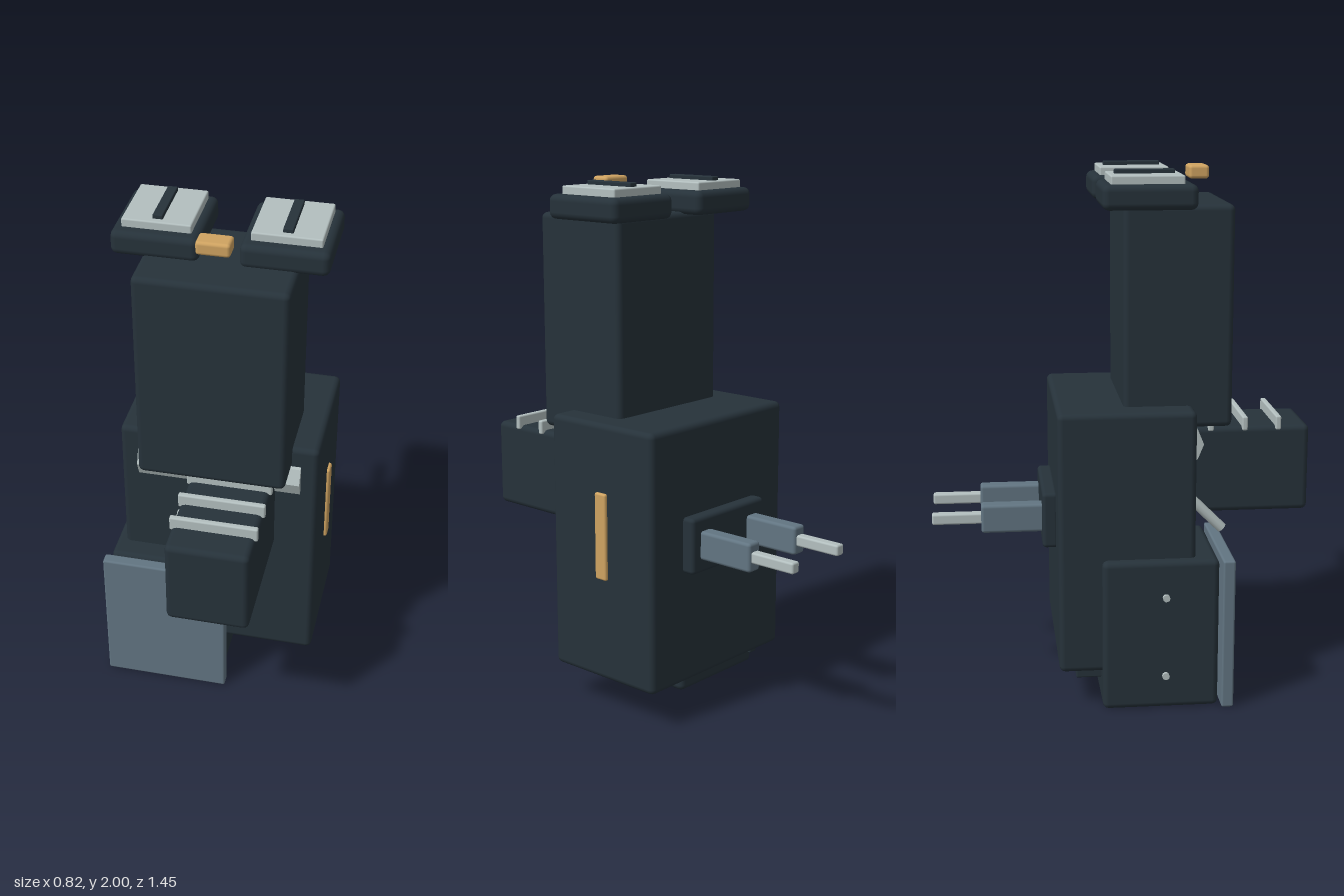
import * as THREE from 'three';
import { RoundedBoxGeometry } from 'three/addons/geometries/RoundedBoxGeometry.js';

const paint = (name, color) => {
  const m = new THREE.MeshStandardMaterial({ color });
  m.name = name;
  return m;
};

export function createModel() {
  const model = new THREE.Group();
  model.name = 'gadget';
  const dark = paint('dark navy', 0x26323a);
  const slate = paint('slate', 0x627582);
  const light = paint('pale steel', 0xb3bfbf);
  const gold = paint('brass', 0xcfa361);

  const add = (name, geometry, material, x, y, z) => {
    const mesh = new THREE.Mesh(geometry, material);
    mesh.name = name;
    mesh.position.set(x, y, z);
    model.add(mesh);
    return mesh;
  };

  // Softly bevelled box given by its extents on each axis
  const box = (name, material, [x0, x1], [y0, y1], [z0, z1], bevel = 0.022) => {
    const w = x1 - x0, h = y1 - y0, d = z1 - z0;
    const r = Math.min(bevel, 0.3 * Math.min(w, h, d));
    return add(name, new RoundedBoxGeometry(w, h, d, 2, r), material,
      (x0 + x1) / 2, (y0 + y1) / 2, (z0 + z1) / 2);
  };

  // Main masses
  box('mainBody', dark, [-0.355, 0.395], [0.145, 1.14], [-0.265, 0.245]);
  box('tower', dark, [-0.25, 0.295], [1.055, 1.875], [-0.015, 0.39]);
  box('frontBlock', dark, [-0.07, 0.235], [0.67, 1.01], [0.2, 0.725]);
  box('lowerBlock', dark, [-0.39, 0.05], [0.005, 0.585], [-0.105, 0.33]);
  box('frontPanel', slate, [-0.41, 0.072], [0.005, 0.585], [0.34, 0.386], 0.008);

  // Top pads, each with a pale plate and a dark slot
  for (const x of [-0.205, 0.245]) {
    box('topPad', dark, [x - 0.155, x + 0.155], [1.865, 1.955], [-0.1, 0.24], 0.025);
    box('padPlate', light, [x - 0.123, x + 0.123], [1.95, 1.985], [-0.068, 0.195], 0.006);
    box('padSlot', dark, [x - 0.018, x + 0.018], [1.98, 2.0], [-0.045, 0.172], 0.004);
  }

  // Brass details
  box('topButton', gold, [-0.04, 0.08], [1.95, 2.0], [0.25, 0.325], 0.012);
  box('sideStrip', gold, [0.38, 0.407], [0.545, 0.88], [-0.042, 0.014], 0.008);

  // Ribs over the front block
  for (const z of [0.34, 0.472, 0.602]) {
    box('rib', light, [-0.077, 0.243], [0.995, 1.05], [z - 0.011, z + 0.011], 0.007);
  }

  // Faceted hinge bar across the front
  const hinge = new THREE.CylinderGeometry(0.08, 0.08, 0.615, 8).toNonIndexed();
  hinge.computeVertexNormals();
  hinge.rotateZ(Math.PI / 2);
  add('hingeBar', hinge, light, 0.0225, 1.0, 0.2);

  // Slanted lever
  const lever = new THREE.CylinderGeometry(0.02, 0.02, 0.26, 10);
  add('lever', lever, light, -0.125, 0.715, 0.287).rotation.x = -Math.PI / 4;

  // Pins through the lower block
  for (const y of [0.135, 0.445]) {
    const pin = new THREE.CylinderGeometry(0.014, 0.014, 0.462, 10).rotateZ(Math.PI / 2);
    add('pin', pin, light, -0.171, y, 0.13);
  }

  // Small catch behind the lower block
  box('catch', dark, [-0.3, -0.26], [0.1, 0.19], [-0.2, -0.09], 0.006);

  // Rear plate with two prongs
  box('rearPlate', dark, [-0.187, 0.227], [0.583, 0.798], [-0.315, -0.255], 0.015);
  for (const x of [-0.114, 0.154]) {
    box('prongSleeve', slate, [x - 0.031, x + 0.031], [0.635, 0.745], [-0.545, -0.305], 0.012);
    box('prongTip', light, [x - 0.02, x + 0.02], [0.67, 0.712], [-0.73, -0.53], 0.008);
  }

  return model;
}
